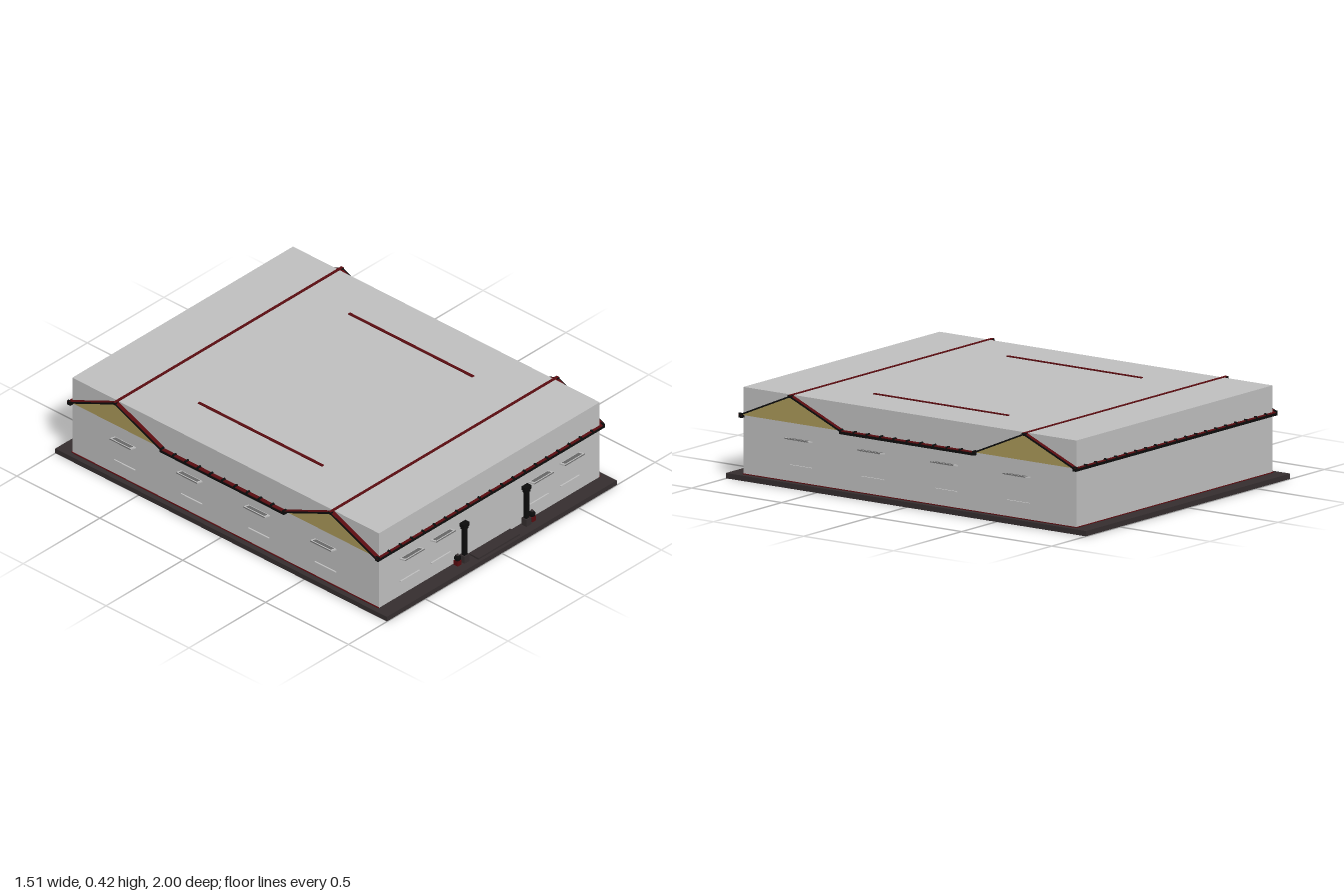
import * as THREE from 'three';

const paint = (name, color) => {
  const m = new THREE.MeshStandardMaterial({ color });
  m.name = name;
  return m;
};

export function createModel() {
  const model = new THREE.Group();
  model.name = 'hall';
  const wall = paint('wall grey', 0xc0c0c0);
  const stone = paint('dark stone', 0x352e2f);
  const red = paint('dark red', 0x5a0c10);
  const black = paint('black', 0x0c0c0c);
  const gold = paint('gold', 0xab9959);
  gold.side = THREE.DoubleSide;
  const pane = paint('pane grey', 0x6c6c6c);

  const add = (name, geo, mat, x, y, z, parent = model) => {
    const mesh = new THREE.Mesh(geo, mat);
    mesh.name = name;
    mesh.position.set(x, y, z);
    parent.add(mesh);
    return mesh;
  };
  const box = (name, mat, w, h, d, x, y, z, parent) =>
    add(name, new THREE.BoxGeometry(w, h, d), mat, x, y, z, parent);

  // Base slab, main volume and entrance step
  box('baseSlab', stone, 1.5, 0.024, 2, 0, 0.013, 0);
  box('mainHall', wall, 1.44, 0.42, 1.85, 0, 0.21, 0);
  box('entranceStep', stone, 0.27, 0.008, 0.06, 0, 0.029, 0.955);
  for (const s of [-1, 1]) box('plinthStrip', red, 0.006, 0.004, 1.85, s * 0.722, 0.026, 0);
  box('plinthStrip', red, 1.44, 0.004, 0.006, 0, 0.026, -0.927);

  // Eave with a row of tile ends, running along local x and facing local +z
  const eave = (length, x, z, turn) => {
    const g = new THREE.Group();
    g.name = 'eave';
    g.position.set(x, 0, z);
    g.rotation.y = turn;
    box('eaveFascia', black, length, 0.012, 0.02, 0, 0.289, 0, g);
    box('eaveTrim', red, length, 0.005, 0.018, 0, 0.2965, 0, g);
    const n = Math.round(length / 0.073);
    const tile = new THREE.CylinderGeometry(0.006, 0.006, 0.02, 8).rotateX(Math.PI / 2);
    for (let i = 0; i <= n; i++)
      add('tileEnd', tile, black, (i / n - 0.5) * (length - 0.012), 0.299, 0, g);
    model.add(g);
  };
  for (const s of [-1, 1]) {
    eave(1.48, 0, s * 0.928, s > 0 ? 0 : Math.PI);
    eave(0.75, s * 0.735, 0, s * Math.PI / 2);
  }

  // Ridges: two across the hall, two short ones along it
  for (const s of [-1, 1]) {
    box('crossRidge', red, 1.49, 0.012, 0.014, 0, 0.417, s * 0.65);
    box('sideRidge', red, 0.014, 0.012, 0.75, s * 0.49, 0.418, 0);
    for (const t of [-1, 1])
      box('ridgeEnd', black, 0.014, 0.012, 0.018, t * 0.739, 0.416, s * 0.65);
  }

  // Gables with sloping roof edges
  const gable = new THREE.Shape([
    new THREE.Vector2(-0.28, 0.295), new THREE.Vector2(0.28, 0.295), new THREE.Vector2(0, 0.415),
  ]);
  const gableGeo = new THREE.ShapeGeometry(gable).rotateY(Math.PI / 2);
  const angle = Math.atan2(0.12, 0.28);
  for (const sx of [-1, 1]) for (const sz of [-1, 1]) {
    add('gable', gableGeo, gold, sx * 0.731, 0, sz * 0.65);
    for (const t of [-1, 1]) {
      const edge = box('roofEdge', red, 0.024, 0.006, 0.306, sx * 0.731, 0.356, sz * 0.65 + t * 0.14);
      edge.rotation.x = t * angle;
      const rim = box('roofEdgeRim', black, 0.004, 0.007, 0.306, sx * 0.743, 0.356, sz * 0.65 + t * 0.14);
      rim.rotation.x = t * angle;
    }
  }

  // Tilted window flaps with a sill below
  const windowFlap = (x, z, turn) => {
    const g = new THREE.Group();
    g.name = 'window';
    g.position.set(x, 0, z);
    g.rotation.y = turn;
    const flap = new THREE.Group();
    flap.name = 'windowFlap';
    flap.position.set(0, 0.223, 0.017);
    flap.rotation.x = -0.2;
    box('flapFrame', wall, 0.128, 0.006, 0.036, 0, 0, 0, flap);
    box('flapPane', pane, 0.108, 0.008, 0.022, 0, 0, 0, flap);
    box('flapEdge', pane, 0.128, 0.005, 0.002, 0, 0, 0.018, flap);
    g.add(flap);
    box('windowSill', wall, 0.125, 0.004, 0.008, 0, 0.101, 0.003, g);
    model.add(g);
  };
  for (const s of [-1, 1]) {
    for (const x of [0.32, 0.522]) windowFlap(s * x, 0.925, 0);
    for (const z of [-0.605, -0.203, 0.203, 0.605]) windowFlap(s * 0.72, z, s * Math.PI / 2);
  }

  // Entrance posts, each with a small urn beside it
  for (const s of [-1, 1]) {
    const x = s * 0.202, u = s * 0.243, z = 0.962;
    box('postFoot', stone, 0.032, 0.036, 0.03, x, 0.058, z);
    box('postShaft', black, 0.022, 0.15, 0.018, x, 0.15, z);
    box('postNeck', black, 0.028, 0.012, 0.022, x, 0.219, z);
    box('postCap', black, 0.038, 0.018, 0.026, x, 0.235, z);
    box('urnFoot', red, 0.024, 0.024, 0.024, u, 0.051, z - 0.004);
    add('urn', new THREE.SphereGeometry(0.016, 12, 8), black, u, 0.075, z - 0.004);
    add('urnLid', new THREE.CylinderGeometry(0.004, 0.009, 0.01, 8), stone, u, 0.091, z - 0.004);
  }
  return model;
}
